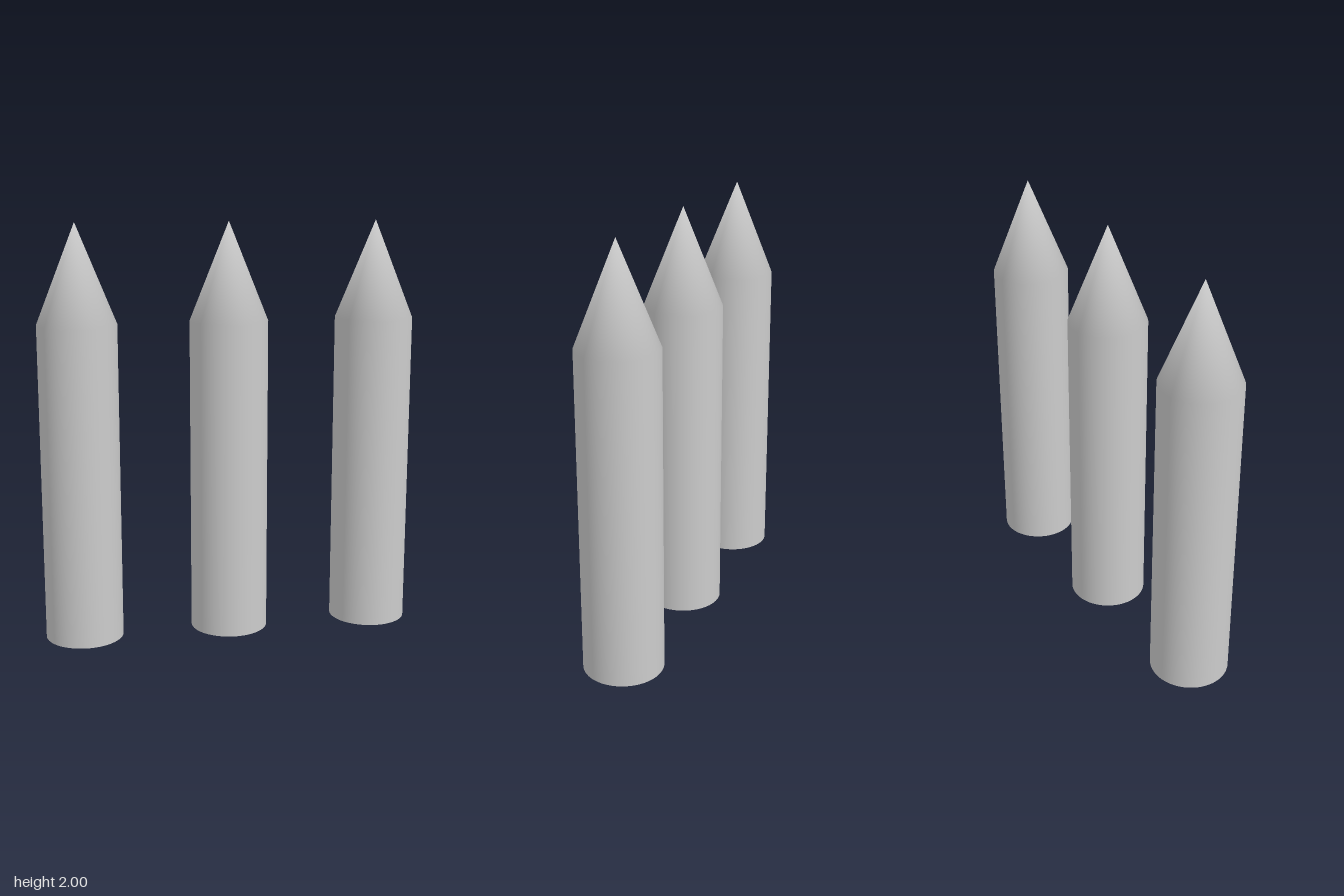
import * as THREE from 'three';

const RADIUS = 0.188, SHOULDER = 1.53, HEIGHT = 2, SPACING = 0.723, SIDES = 64;

// Straight shaft that blends smoothly into a pointed tip
function bodyGeometry() {
  const profile = [[RADIUS, 0], [RADIUS, SHOULDER], [0, HEIGHT]].map(([x, y]) => new THREE.Vector2(x, y));
  const geometry = new THREE.LatheGeometry(profile, SIDES);
  const { position, normal } = geometry.attributes;
  // Normals point straight out along the shaft and straight up at the tip
  for (let i = 0; i < position.count; i++) {
    const x = position.getX(i), z = position.getZ(i);
    if (position.getY(i) > SHOULDER + 0.01) normal.setXYZ(i, 0, 1, 0);
    else normal.setXYZ(i, x / RADIUS, 0, z / RADIUS);
  }
  return geometry;
}

export function createModel() {
  const model = new THREE.Group();
  model.name = 'pointedPosts';
  const material = new THREE.MeshStandardMaterial({ color: 0xcccccc });
  const body = bodyGeometry();
  const cap = new THREE.CircleGeometry(RADIUS, SIDES).rotateX(Math.PI / 2);

  // Row of three identical posts
  ['rightPost', 'middlePost', 'leftPost'].forEach((name, i) => {
    const post = new THREE.Group();
    post.name = name;
    const shaft = new THREE.Mesh(body, material);
    shaft.name = 'shaftAndTip';
    const base = new THREE.Mesh(cap, material);
    base.name = 'base';
    post.add(shaft, base);
    post.position.x = (i - 1) * SPACING;
    model.add(post);
  });
  return model;
}
